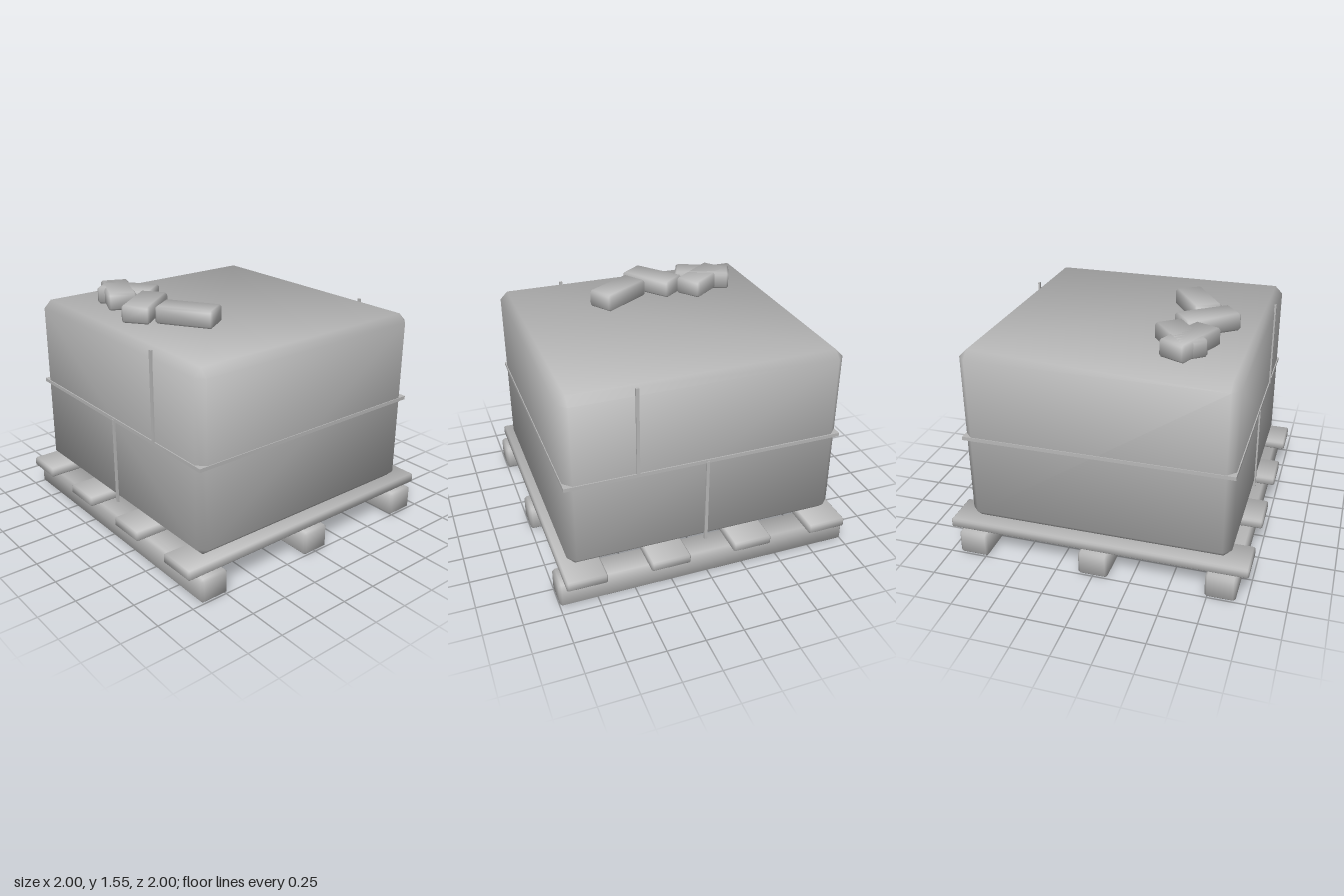
import * as THREE from 'three';
import { ConvexGeometry } from 'three/addons/geometries/ConvexGeometry.js';

const grey = new THREE.MeshStandardMaterial({ color: 0xb8b8b8 });
grey.name = 'plain grey';

// Box with one flat chamfer on every edge and softly blended normals
function chamferBox(w, h, d, bevel) {
  const half = [w / 2, h / 2, d / 2];
  const points = [];
  for (let axis = 0; axis < 3; axis++)
    for (const sx of [-1, 1]) for (const sy of [-1, 1]) for (const sz of [-1, 1]) {
      const p = [sx, sy, sz].map((s, i) => s * (half[i] - (i === axis ? 0 : bevel)));
      points.push(new THREE.Vector3(...p));
    }
  const geometry = new ConvexGeometry(points);
  const pos = geometry.attributes.position;
  const normal = new THREE.Vector3();
  for (let i = 0; i < pos.count; i++) {
    const n = [pos.getX(i), pos.getY(i), pos.getZ(i)].map(
      (c, k) => Math.sign(c) * (Math.abs(c) > half[k] - bevel / 2 ? 1 : 0.43));
    normal.set(...n).normalize();
    geometry.attributes.normal.setXYZ(i, normal.x, normal.y, normal.z);
  }
  return geometry;
}

export function createModel() {
  const model = new THREE.Group();
  model.name = 'loadedPallet';

  const add = (name, geometry, x, y, z, turn = 0) => {
    const mesh = new THREE.Mesh(geometry, grey);
    mesh.name = name;
    mesh.position.set(x, y, z);
    mesh.rotation.y = turn;
    model.add(mesh);
  };

  // Pallet runners, left to right
  const runner = chamferBox(2, 0.165, 0.198, 0.016);
  for (const z of [-0.833, 0, 0.833]) add('palletRunner', runner, 0, 0.0825, z);

  // Pallet deck boards, front to back
  const board = chamferBox(0.263, 0.065, 2, 0.01);
  for (const x of [-0.835, -0.285, 0.28, 0.832]) add('palletBoard', board, x, 0.2, 0);

  // Wrapped load
  add('load', chamferBox(1.832, 1.197, 1.748, 0.052), 0, 0.8365, 0);

  // Raised seams around the load
  add('middleSeam', new THREE.BoxGeometry(1.842, 0.024, 1.762), 0, 0.838, 0);
  const seam = new THREE.BoxGeometry(0.021, 0.597, 0.014);
  for (const z of [-0.878, 0.878]) {
    add('lowerSeam', seam, 0, 0.537, z);
    add('upperSeam', seam, 0.455, 1.137, z);
  }

  // Loose bricks on top: x, z, turn
  const brick = chamferBox(0.387, 0.116, 0.19, 0.014);
  const bricks = [
    [-0.507, 0.49, -0.41],
    [-0.478, 0.425, 0.65],
    [-0.134, 0.52, -0.92],
    [0.166, 0.39, 0.57],
  ];
  for (const [x, z, turn] of bricks) add('looseBrick', brick, x, 1.493, z, turn);

  return model;
}
